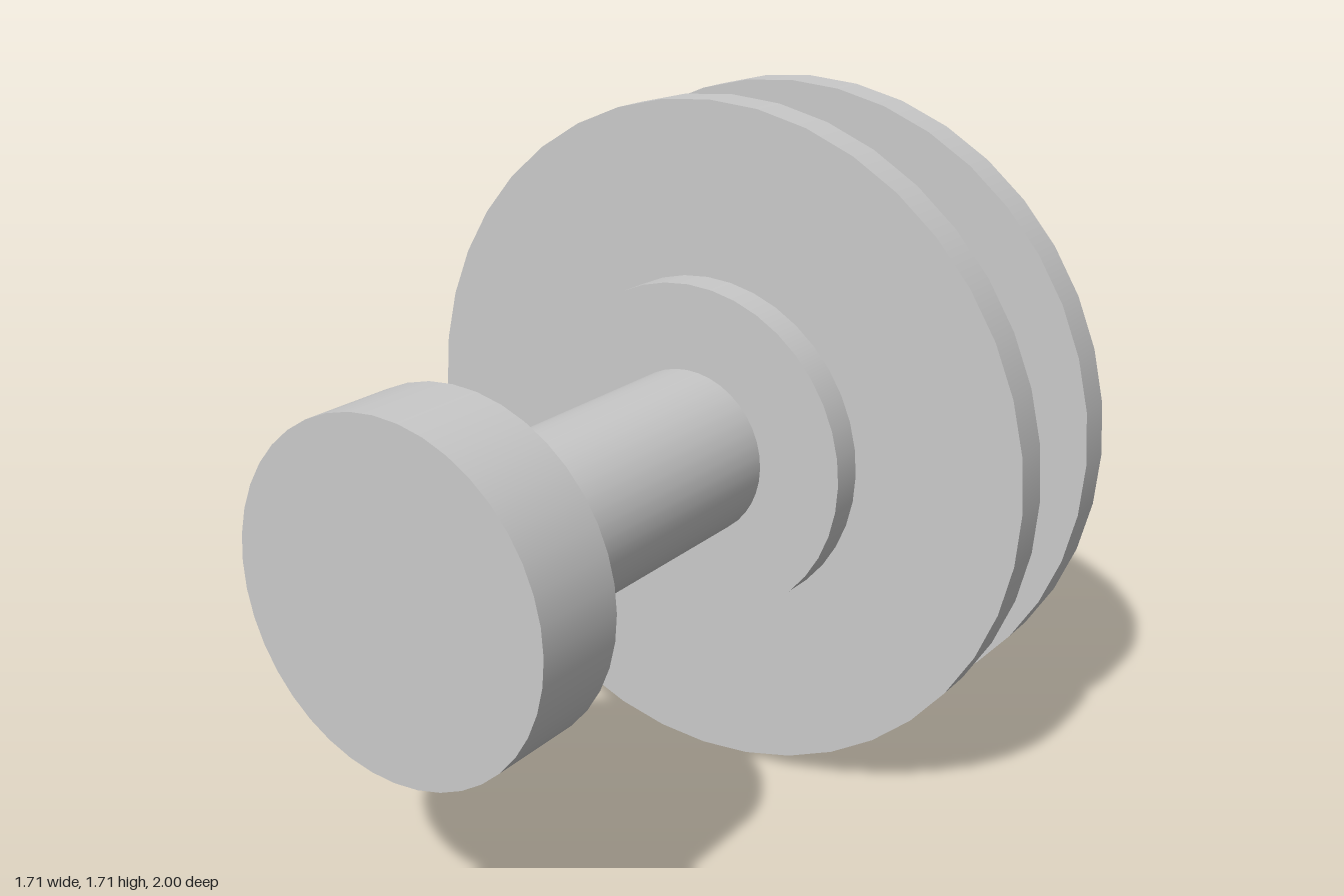
import * as THREE from 'three';

const AXIS_Y = 0.855;

export function createModel() {
  const model = new THREE.Group();
  model.name = 'flangedBolt';
  const steel = new THREE.MeshStandardMaterial({ color: 0xc9c9c9 });
  steel.name = 'grey steel';

  // Solid disc or prism along z, from zBack to zFront
  function addRound(name, radius, zBack, zFront, sides = 40, turn = 0) {
    let geometry = new THREE.CylinderGeometry(radius, radius, zFront - zBack, sides, 1, false, turn);
    if (sides < 12) {
      // Faceted prism with crisp faces
      geometry = geometry.toNonIndexed();
      geometry.computeVertexNormals();
    }
    geometry.rotateX(Math.PI / 2);
    const mesh = new THREE.Mesh(geometry, steel);
    mesh.name = name;
    mesh.position.set(0, AXIS_Y, (zBack + zFront) / 2);
    model.add(mesh);
    return mesh;
  }

  addRound('endCap', 0.405, 0.765, 1);
  addRound('shaft', 0.212, -0.6, 0.8);
  addRound('collar', 0.427, -0.178, -0.092);
  addRound('frontFlange', 0.855, -0.277, -0.178);
  addRound('rearFlange', 0.855, -0.655, -0.557);

  // Hexagonal head with corners pointing sideways
  const head = addRound('hexHead', 0.395, -1, -0.655, 6, Math.PI / 2);
  head.position.x = -0.005;

  return model;
}
